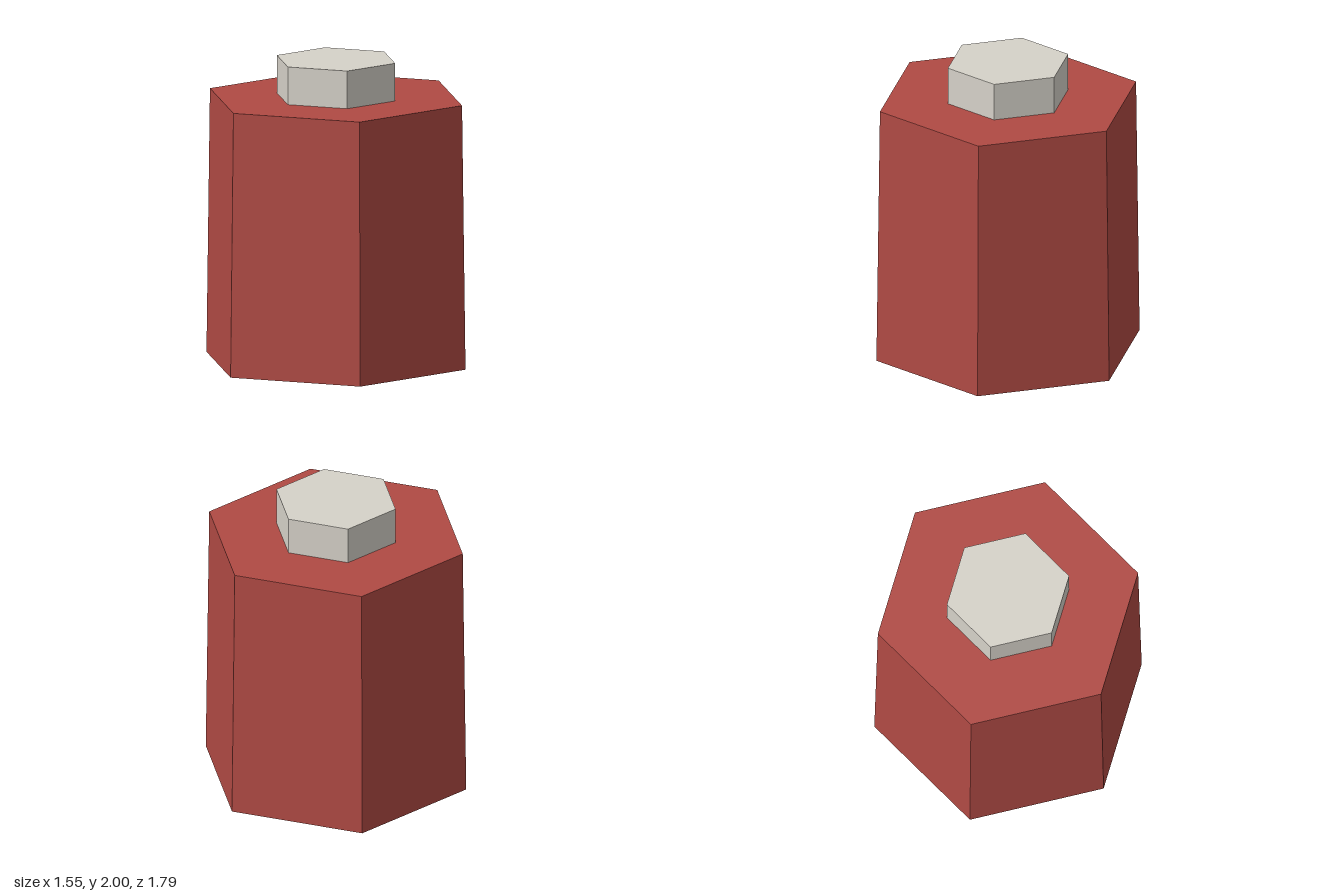
import * as THREE from 'three';

export function createModel() {
  const model = new THREE.Group();
  const red = new THREE.MeshStandardMaterial({ color: 0xb04a44, flatShading: true });
  red.name = 'brick red';
  const grey = new THREE.MeshStandardMaterial({ color: 0xd6d2c9, flatShading: true });
  grey.name = 'warm light grey';

  // Six-sided prism standing on y, with corners on the z axis
  function hexPrism(name, topRadius, bottomRadius, y0, y1, material) {
    const geometry = new THREE.CylinderGeometry(topRadius, bottomRadius, y1 - y0, 6);
    const mesh = new THREE.Mesh(geometry, material);
    mesh.name = name;
    mesh.position.y = (y0 + y1) / 2;
    model.add(mesh);
  }

  // Slightly tapered body and the small cap on top
  hexPrism('body', 0.873, 0.897, 0, 1.75, red);
  hexPrism('cap', 0.41, 0.41, 1.75, 2, grey);

  return model;
}
